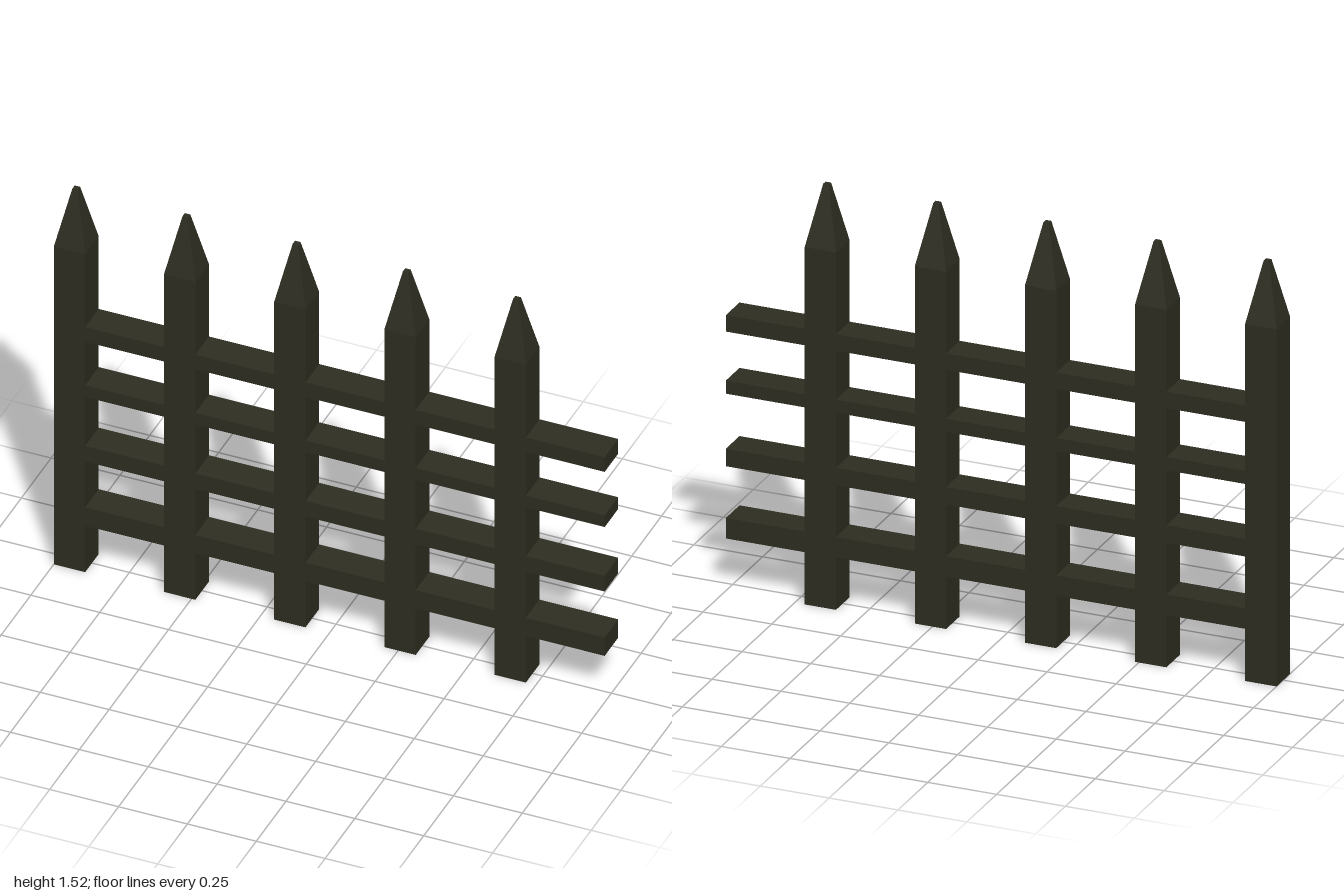
import * as THREE from 'three';

const POST_W = 0.114;
const PITCH = 0.4;
const SHOULDER = 1.3;
const TOP = 1.52;

export function createModel() {
  const fence = new THREE.Group();
  fence.name = 'picketFence';
  const wood = new THREE.MeshStandardMaterial({ color: 0x2e2e22 });
  wood.name = 'darkWood';

  const add = (parent, name, geometry, x, y) => {
    const mesh = new THREE.Mesh(geometry, wood);
    mesh.name = name;
    mesh.position.set(x, y, 0);
    parent.add(mesh);
  };

  // Square shaft and four-sided tapered tip, shared by all posts
  const shaft = new THREE.BoxGeometry(POST_W, SHOULDER, POST_W);
  const tip = new THREE.CylinderGeometry(
    0.01 * Math.SQRT2, (POST_W / 2) * Math.SQRT2, TOP - SHOULDER, 4
  ).rotateY(Math.PI / 4).toNonIndexed();
  tip.computeVertexNormals();

  // Bottom and top heights of the rails, thinnest third from the ground
  const rails = [[0.19, 0.265], [0.453, 0.517], [0.717, 0.765], [0.943, 1.003]];
  const railLength = PITCH - POST_W;

  // Each bay is a post with four rails reaching out to its left
  for (let i = 0; i < 5; i++) {
    const bay = new THREE.Group();
    bay.name = `bay${i + 1}`;
    bay.position.x = -1 + i * PITCH;
    add(bay, 'postShaft', shaft, POST_W / 2, SHOULDER / 2);
    add(bay, 'postTip', tip, POST_W / 2, (SHOULDER + TOP) / 2);
    for (const [low, high] of rails) {
      const rail = new THREE.BoxGeometry(railLength, high - low, POST_W);
      add(bay, 'rail', rail, POST_W + railLength / 2, (low + high) / 2);
    }
    fence.add(bay);
  }
  return fence;
}
